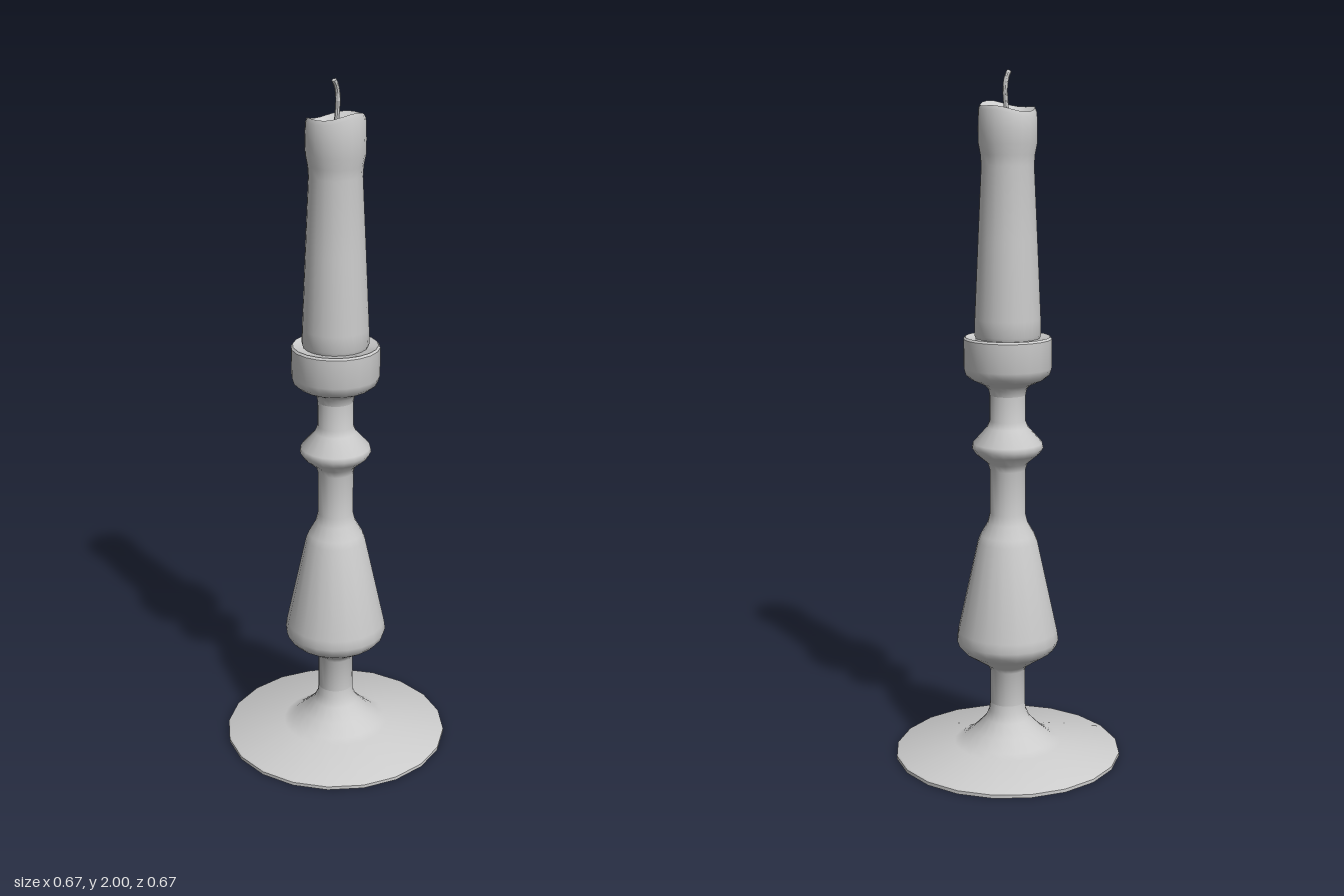
import * as THREE from 'three';
import { toCreasedNormals } from 'three/addons/utils/BufferGeometryUtils.js';

const SIDES = 20;
const material = new THREE.MeshStandardMaterial({ color: 0xcccccc });

function addMesh(group, name, geometry, crease = 0.7) {
  const mesh = new THREE.Mesh(toCreasedNormals(geometry, crease), material);
  mesh.name = name;
  group.add(mesh);
}

// Profiles are [radius, height] pairs, from bottom to top
function turned(profile) {
  return new THREE.LatheGeometry(profile.map(([r, y]) => new THREE.Vector2(r, y)), SIDES);
}

export function createModel() {
  const model = new THREE.Group();
  model.name = 'candlestick';

  // Flared foot with a thin rim
  addMesh(model, 'foot', turned([
    [0, 0], [0.335, 0], [0.335, 0.01], [0.33, 0.014], [0.16, 0.035], [0.135, 0.045],
    [0.1, 0.075], [0.066, 0.11], [0.055, 0.135], [0.052, 0.16],
  ]));

  // Turned stem: tapered body, neck and collar
  addMesh(model, 'stem', turned([
    [0.052, 0.16], [0.052, 0.262], [0.06, 0.276], [0.13, 0.322], [0.145, 0.338], [0.151, 0.357],
    [0.147, 0.385], [0.088, 0.655], [0.08, 0.675], [0.059, 0.712], [0.052, 0.74],
    [0.052, 0.87], [0.058, 0.89], [0.092, 0.918], [0.104, 0.936], [0.101, 0.95],
    [0.06, 0.996], [0.052, 1.015], [0.052, 1.09],
  ]), 0.9);

  // Cup holding the candle
  addMesh(model, 'cup', turned([
    [0.052, 1.09], [0.056, 1.108], [0.068, 1.12], [0.105, 1.137], [0.121, 1.15], [0.127, 1.17],
    [0.127, 1.253], [0.122, 1.259], [0.118, 1.256], [0, 1.252],
  ]), 0.65);

  // Candle with a melted, uneven rim and a shallow dished top
  const candle = turned([
    [0.09, 1.25], [0.096, 1.265], [0.095, 1.31], [0.085, 1.53], [0.075, 1.74], [0.077, 1.77],
    [0.083, 1.8], [0.084, 1.84], [0.082, 1.89], [0.077, 1.902], [0.07, 1.896], [0.045, 1.882], [0, 1.875],
  ]);
  const p = candle.attributes.position;
  for (let i = 0; i < p.count; i++) {
    const x = p.getX(i), y = p.getY(i), z = p.getZ(i);
    const angle = Math.atan2(z, x);
    const wave = 0.011 * Math.cos(angle) + 0.005 * Math.cos(3 * angle - 0.4);
    const weight = THREE.MathUtils.smoothstep(y, 1.82, 1.89) * Math.min(1, Math.hypot(x, z) / 0.07);
    p.setY(i, y + wave * weight);
  }
  addMesh(model, 'candle', candle);

  // Curved wick with a closed tip
  const curve = new THREE.CatmullRomCurve3([
    [0, 1.87, -0.002], [0, 1.91, -0.007], [0, 1.95, -0.01], [0, 1.98, -0.004], [0, 1.997, 0.006],
  ].map((v) => new THREE.Vector3(...v)));
  addMesh(model, 'wick', new THREE.TubeGeometry(curve, 10, 0.007, 8), 0.9);
  const tip = new THREE.CircleGeometry(0.007, 8);
  tip.lookAt(curve.getTangent(1));
  tip.translate(0, 1.997, 0.006);
  addMesh(model, 'wickTip', tip);

  return model;
}
